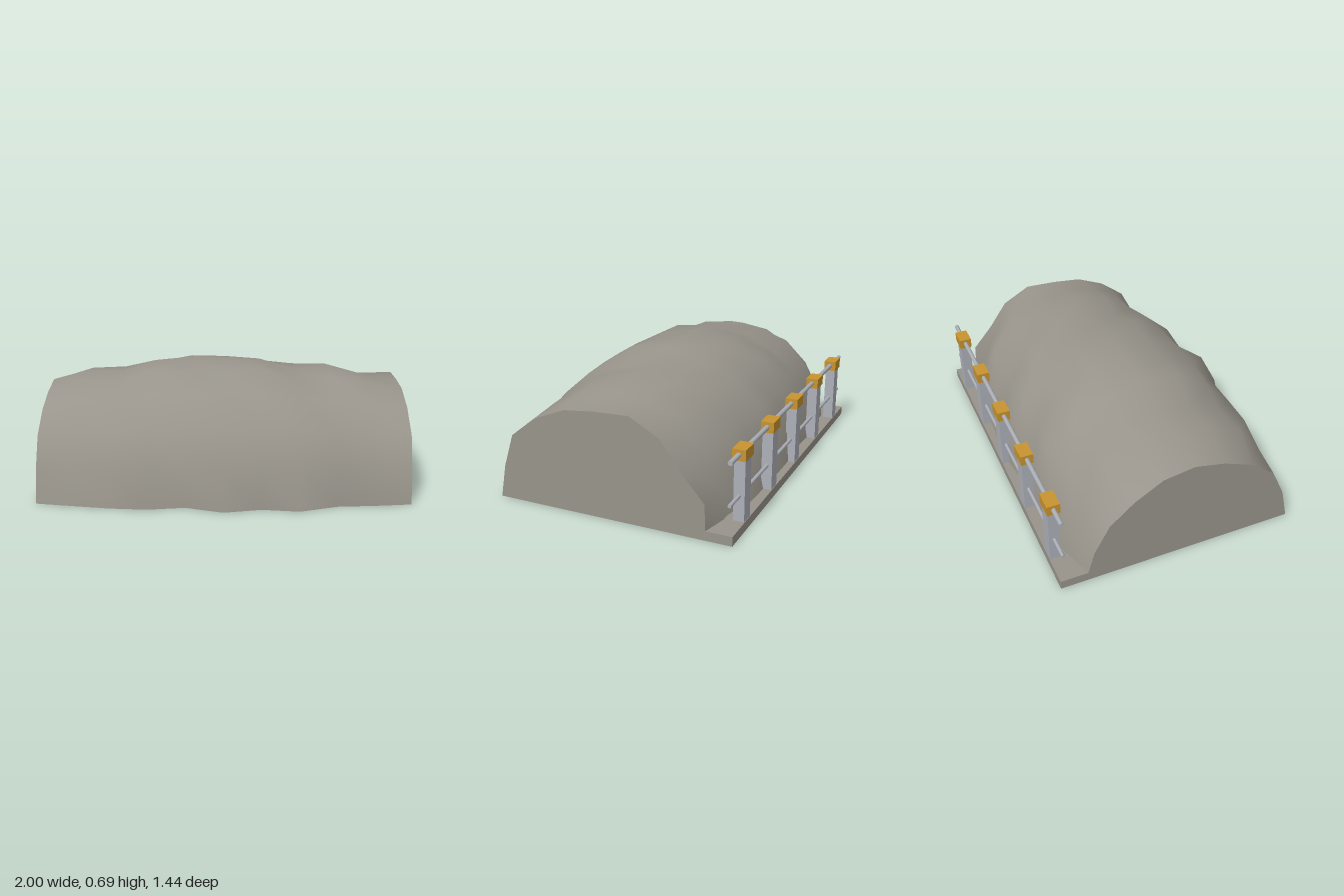
import * as THREE from 'three';

const mat = (name, color) => {
  const m = new THREE.MeshStandardMaterial({ color });
  m.name = name;
  return m;
};

// Mound radii at eleven stations along x: front foot, ridge, back foot
const FRONT = [0.595, 0.63, 0.665, 0.68, 0.65, 0.72, 0.675, 0.70, 0.625, 0.61, 0.585];
const RIDGE = [0.555, 0.61, 0.605, 0.67, 0.69, 0.685, 0.68, 0.62, 0.645, 0.59, 0.56];
const BACK = [0.585, 0.65, 0.645, 0.68, 0.67, 0.69, 0.69, 0.68, 0.675, 0.63, 0.585];
// End profiles, from front foot over the ridge to back foot
const ENDS = {
  0: [0.595, 0.58, 0.585, 0.56, 0.545, 0.555, 0.555, 0.545, 0.56, 0.565, 0.585],
  10: [0.585, 0.58, 0.61, 0.585, 0.57, 0.56, 0.595, 0.59, 0.56, 0.607, 0.585],
};
const N = 10;

function moundPoint(i, j) {
  let r;
  if (ENDS[i]) r = ENDS[i][j];
  else {
    const t = j / 5;
    r = t <= 1 ? THREE.MathUtils.lerp(FRONT[i], RIDGE[i], t)
      : THREE.MathUtils.lerp(RIDGE[i], BACK[i], t - 1);
    if (j % 5) r += 0.016 * Math.sin(i * 2.3 + j * 1.7);
  }
  const a = (Math.PI * j) / N;
  return [-1 + i * 0.2, j === N ? 0 : r * Math.sin(a), r * Math.cos(a)];
}

// Smooth uneven skin of the mound
function moundSkin() {
  const pos = [], index = [];
  for (let i = 0; i <= N; i++) for (let j = 0; j <= N; j++) pos.push(...moundPoint(i, j));
  for (let i = 0; i < N; i++) for (let j = 0; j < N; j++) {
    const a = i * (N + 1) + j, b = a + N + 1;
    index.push(a, b, a + 1, b, b + 1, a + 1);
  }
  const g = new THREE.BufferGeometry();
  g.setAttribute('position', new THREE.Float32BufferAttribute(pos, 3));
  g.setIndex(index);
  g.computeVertexNormals();
  return g;
}

// Flat cut ends and underside
function moundFlats() {
  const pos = [];
  const tri = (a, b, c) => pos.push(...a, ...b, ...c);
  for (let j = 0; j < N; j++) {
    tri([1, 0, 0], moundPoint(N, j + 1), moundPoint(N, j));
    tri([-1, 0, 0], moundPoint(0, j), moundPoint(0, j + 1));
  }
  for (let i = 0; i < N; i++) {
    const f0 = moundPoint(i, 0), f1 = moundPoint(i + 1, 0);
    const b0 = moundPoint(i, N), b1 = moundPoint(i + 1, N);
    tri(f0, b0, f1);
    tri(b0, b1, f1);
  }
  const g = new THREE.BufferGeometry();
  g.setAttribute('position', new THREE.Float32BufferAttribute(pos, 3));
  g.computeVertexNormals();
  return g;
}

export function createModel() {
  const model = new THREE.Group();
  model.name = 'moundWithRailing';
  const rock = mat('rock', 0x98948b);
  const steel = mat('steel', 0xadb0b8);
  const gold = mat('gold', 0xc8942f);

  const add = (parent, name, geometry, material, x = 0, y = 0, z = 0) => {
    const mesh = new THREE.Mesh(geometry, material);
    mesh.name = name;
    mesh.position.set(x, y, z);
    parent.add(mesh);
    return mesh;
  };

  const mound = new THREE.Group();
  mound.name = 'mound';
  model.add(mound);
  const flats = moundFlats();
  add(mound, 'moundSkin', moundSkin(), rock);
  add(mound, 'moundEndsAndBase', flats, rock);

  // Ledge along the back that carries the railing
  add(model, 'ledge', new THREE.BoxGeometry(2, 0.05, 0.17), rock, 0, 0.025, -0.635);

  const railing = new THREE.Group();
  railing.name = 'railing';
  railing.position.z = -0.688;
  model.add(railing);

  // Posts with gold caps
  const post = new THREE.BoxGeometry(0.08, 0.33, 0.058);
  const cap = new THREE.BoxGeometry(0.108, 0.058, 0.07);
  for (let k = -2; k <= 2; k++) {
    add(railing, 'post', post, steel, k * 0.4, 0.21, 0);
    add(railing, 'postCap', cap, gold, k * 0.4, 0.4, 0);
  }

  // Two round rails
  for (const [name, y, r] of [['topRail', 0.402, 0.013], ['lowerRail', 0.185, 0.01]]) {
    add(railing, name, new THREE.CylinderGeometry(r, r, 1.93, 8), steel, 0, y, 0).rotation.z = Math.PI / 2;
  }
  return model;
}
